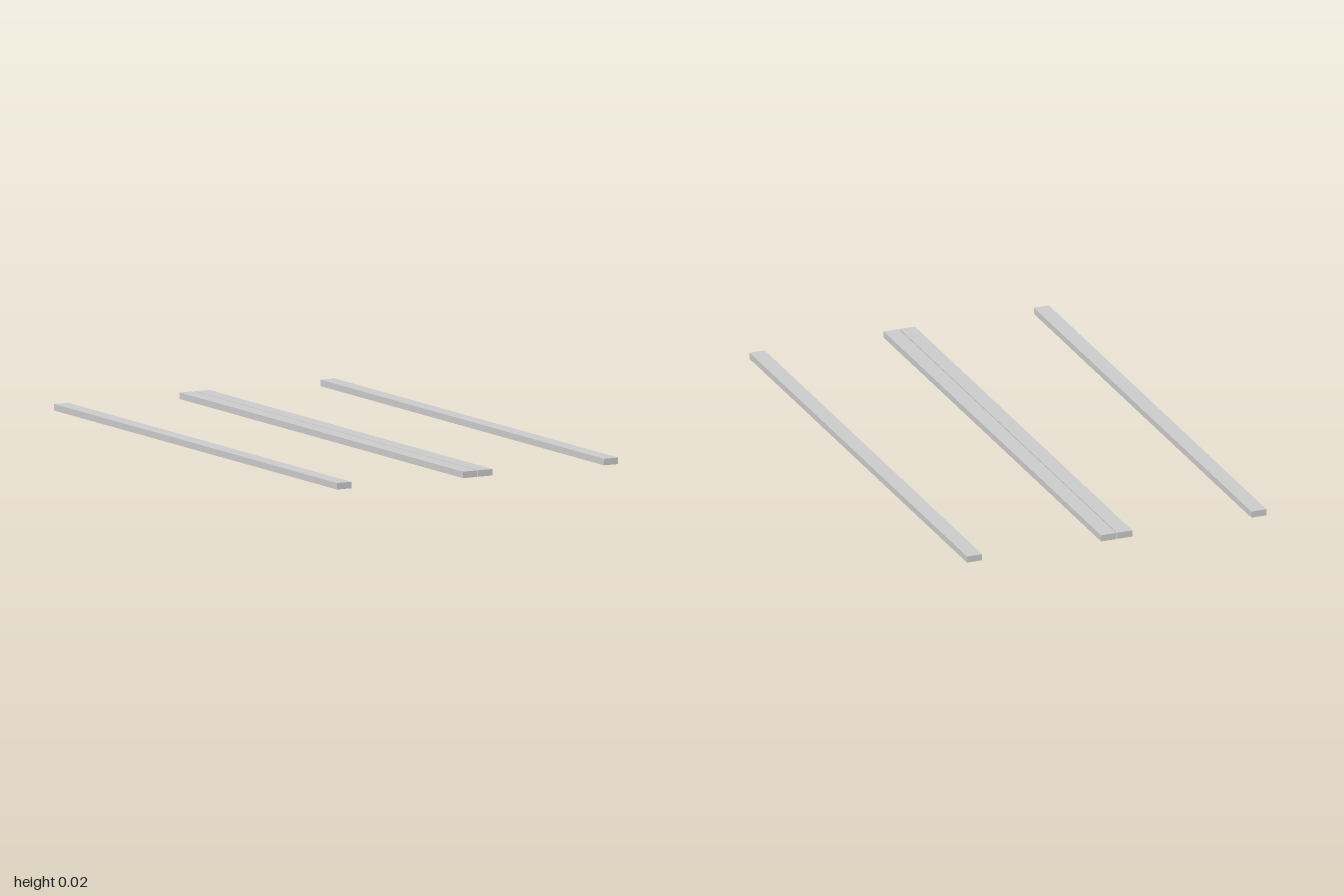
import * as THREE from 'three';

const WIDTH = 0.057, HEIGHT = 0.023, LENGTH = 2;

export function createModel() {
  const group = new THREE.Group();
  const material = new THREE.MeshStandardMaterial({ color: 0xcccccc, flatShading: true });
  const plank = new THREE.BoxGeometry(WIDTH, HEIGHT, LENGTH);

  const addRail = (name, x) => {
    const rail = new THREE.Mesh(plank, material);
    rail.name = name;
    rail.position.set(x, HEIGHT / 2, 0);
    group.add(rail);
  };

  // Mirrored rails: an outer one per side, and a centre pair with a narrow gap
  for (const [side, sign] of [['left', 1], ['right', -1]]) {
    addRail(`${side}OuterRail`, sign * 0.537);
    addRail(`${side}CentreRail`, sign * 0.0305);
  }
  return group;
}
